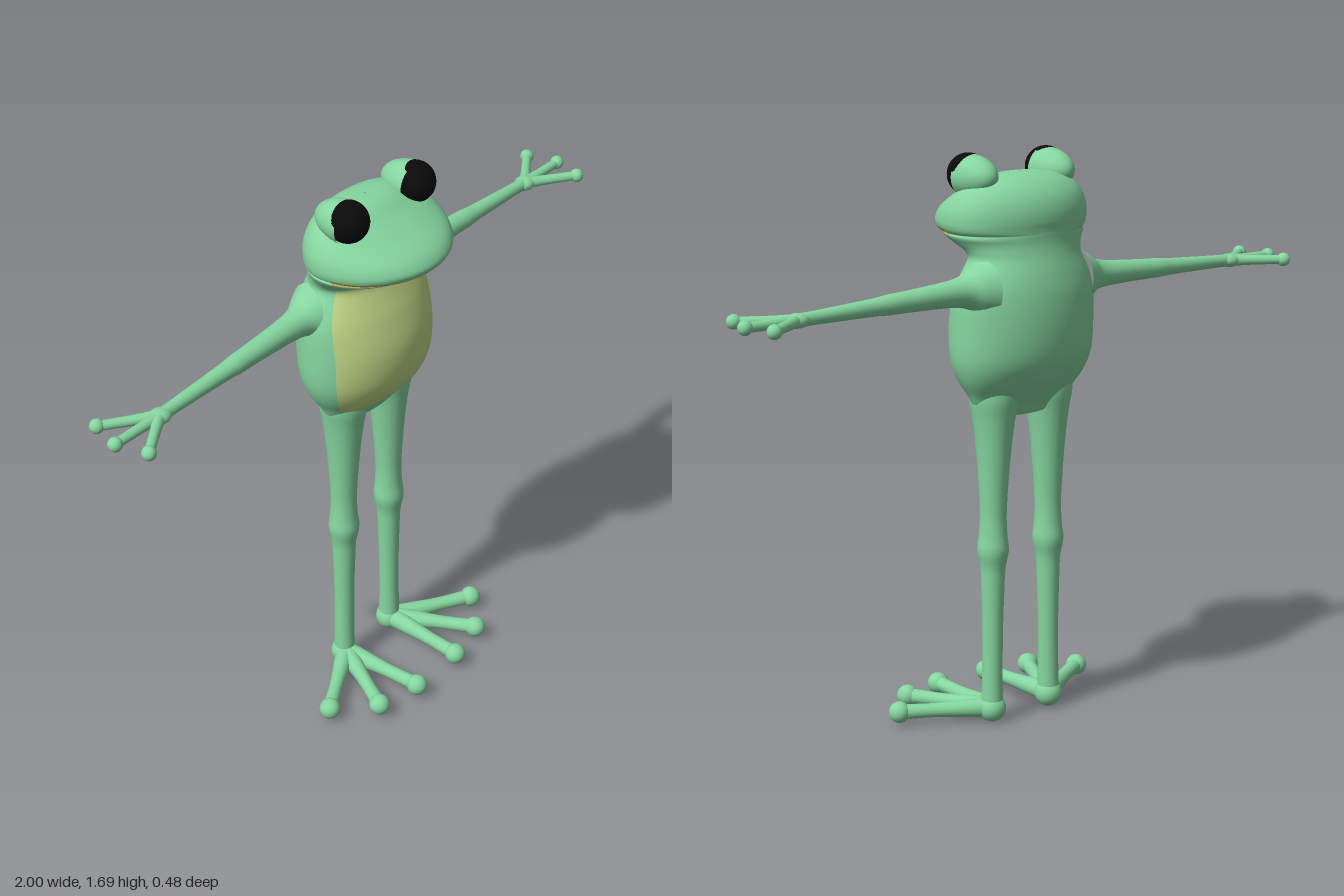
import * as THREE from 'three';

const mat = (name, hex) => {
  const m = new THREE.MeshStandardMaterial({ color: hex });
  m.name = name;
  return m;
};

export function createModel() {
  const green = mat('skin green', 0x86d6a0);
  const belly = mat('belly yellow green', 0xc0d886);
  const lip = mat('lip tan', 0xa9a65a);
  const black = mat('eye black', 0x0a0a0a);

  const model = new THREE.Group();
  model.name = 'frog';

  const add = (name, geo, material, parent = model) => {
    const m = new THREE.Mesh(geo, material);
    m.name = name;
    parent.add(m);
    return m;
  };

  // Torso and head: rings of [y, half width, front z, back z, z of widest point]
  const rings = [
    [0.925, 0.004, -0.074, -0.078, -0.076],
    [0.935, 0.10, -0.03, -0.12, -0.075],
    [0.96, 0.162, -0.008, -0.135, -0.075],
    [1.00, 0.187, 0.025, -0.163, -0.078],
    [1.05, 0.217, 0.063, -0.203, -0.08],
    [1.11, 0.235, 0.083, -0.23, -0.08],
    [1.20, 0.238, 0.084, -0.24, -0.08],
    [1.29, 0.234, 0.06, -0.237, -0.085],
    [1.35, 0.214, 0.036, -0.226, -0.09],
    [1.395, 0.19, 0.02, -0.214, -0.09],
    [1.42, 0.194, 0.03, -0.208, -0.08],
    [1.44, 0.208, 0.08, -0.205, -0.06],
    [1.455, 0.219, 0.125, -0.204, -0.055],
    [1.463, 0.222, 0.132, -0.204, -0.05],
    [1.468, 0.219, 0.118, -0.204, -0.05],
    [1.474, 0.228, 0.158, -0.204, -0.05],
    [1.486, 0.234, 0.172, -0.205, -0.05],
    [1.505, 0.236, 0.173, -0.207, -0.05],
    [1.535, 0.232, 0.148, -0.205, -0.055],
    [1.57, 0.216, 0.085, -0.194, -0.06],
    [1.60, 0.187, 0.03, -0.172, -0.065],
    [1.622, 0.138, -0.005, -0.143, -0.07],
    [1.634, 0.075, -0.035, -0.11, -0.075],
    [1.637, 0.004, -0.074, -0.078, -0.076],
  ];
  const curveA = new THREE.CatmullRomCurve3(rings.map(r => new THREE.Vector3(r[1], r[0], r[2])), false, 'catmullrom', 0.5);
  const curveB = new THREE.CatmullRomCurve3(rings.map(r => new THREE.Vector3(r[3], r[0], r[4])), false, 'catmullrom', 0.5);
  const rows = (rings.length - 1) * 4, seg = 96;
  const pos = [], heights = [];
  for (let i = 0; i <= rows; i++) {
    const a = curveA.getPoint(i / rows), b = curveB.getPoint(i / rows);
    heights.push(a.y);
    for (let j = 0; j < seg; j++) {
      const t = (j / seg) * Math.PI * 2, c = Math.cos(t);
      const depth = c > 0 ? a.z - b.z : b.z - b.x;
      pos.push(a.x * Math.sin(t), a.y, b.z + depth * c);
    }
  }
  // Faces sorted by colour: skin, belly, lips
  const faces = [[], [], []];
  for (let i = 0; i < rows; i++) {
    const y = (heights[i] + heights[i + 1]) / 2;
    for (let j = 0; j < seg; j++) {
      const k = (j + 1) % seg;
      const mid = (j + 0.5) / seg * 360;
      const off = Math.min(mid, 360 - mid);
      let f = 0;
      if (y > 1.0 && y < 1.41 && off < 64) f = 1;
      if (y > 1.461 && y < 1.484 && off < 78) f = 2;
      const p = i * seg + j, q = i * seg + k;
      faces[f].push(p, q, q + seg, p, q + seg, p + seg);
    }
  }
  const bodyGeo = new THREE.BufferGeometry();
  bodyGeo.setAttribute('position', new THREE.Float32BufferAttribute(pos, 3));
  bodyGeo.setIndex(faces.flat());
  let start = 0;
  faces.forEach((f, n) => {
    bodyGeo.addGroup(start, f.length, n);
    start += f.length;
  });
  bodyGeo.computeVertexNormals();
  add('torsoAndHead', bodyGeo, [green, belly, lip]);

  // Round limb from a to b, with a profile of [fraction along, radius]
  const limb = (name, a, b, profile, parent) => {
    const from = new THREE.Vector3(...a), dir = new THREE.Vector3(...b).sub(from);
    const len = dir.length();
    const pts = new THREE.SplineCurve(profile.map(([t, r]) => new THREE.Vector2(r, t * len))).getPoints(profile.length * 4);
    const m = add(name, new THREE.LatheGeometry(pts, 24), green, parent);
    m.position.copy(from);
    m.quaternion.setFromUnitVectors(new THREE.Vector3(0, 1, 0), dir.normalize());
    return m;
  };
  const ball = (name, p, r, parent, scale = [1, 1, 1]) => {
    const m = add(name, new THREE.SphereGeometry(r, 24, 16), green, parent);
    m.position.set(...p);
    m.scale.set(...scale);
    return m;
  };

  for (const [side, s] of [['left', 1], ['right', -1]]) {
    // Leg with a knobbly knee
    const leg = new THREE.Group();
    leg.name = side + 'Leg';
    model.add(leg);
    limb('legShaft', [s * 0.11, 0.03, -0.076], [s * 0.102, 1.03, -0.076], [
      [0, 0.034], [0.1, 0.031], [0.25, 0.031], [0.4, 0.035], [0.45, 0.038], [0.5, 0.047],
      [0.55, 0.042], [0.62, 0.04], [0.74, 0.047], [0.83, 0.055], [0.9, 0.064], [0.95, 0.073], [1, 0.075]], leg);
    // Foot with three long toes
    ball('heel', [s * 0.11, 0.042, -0.076], 0.042, leg);
    for (const [x, z] of [[0.095, 0.204], [0.238, 0.172], [0.348, 0.067]]) {
      const tip = [s * x, 0.042, z];
      limb('toe', [s * 0.11, 0.042, -0.07], tip, [[0, 0.03], [0.25, 0.027], [0.6, 0.021], [1, 0.023]], leg);
      ball('toeTip', tip, 0.032, leg);
    }

    // Arm flaring into the shoulder
    const arm = new THREE.Group();
    arm.name = side + 'Arm';
    model.add(arm);
    limb('armShaft', [s * 0.17, 1.318, -0.115], [s * 0.82, 1.3, -0.112], [
      [0, 0.085], [0.06, 0.066], [0.11, 0.048], [0.18, 0.039], [0.3, 0.034], [0.45, 0.03],
      [0.52, 0.029], [0.6, 0.025], [0.8, 0.021], [0.92, 0.019], [1, 0.02]], arm);
    // Hand with three fingers
    ball('palm', [s * 0.81, 1.3, -0.112], 0.03, arm, [1.2, 0.7, 1]);
    for (const [x, z] of [[0.95, -0.208], [0.978, -0.112], [0.95, -0.016]]) {
      const tip = [s * x, 1.3, z];
      limb('finger', [s * 0.81, 1.3, -0.112], tip, [[0, 0.019], [0.4, 0.015], [1, 0.014]], arm);
      ball('fingerTip', tip, 0.021, arm);
    }

    // Black eyeball with the lid bulge behind it
    const eye = add(side + 'Eye', new THREE.SphereGeometry(0.061, 32, 24), black);
    eye.position.set(s * 0.145, 1.632, -0.014);
    const lidGeo = new THREE.SphereGeometry(0.064, 32, 16, 0, Math.PI * 2, 0, Math.PI / 2);
    lidGeo.rotateX(-Math.PI / 2);
    const lid = add(side + 'EyeLid', lidGeo, green);
    lid.position.set(s * 0.143, 1.627, -0.012);
    lid.scale.set(1, 1, 1.75);
  }
  return model;
}
